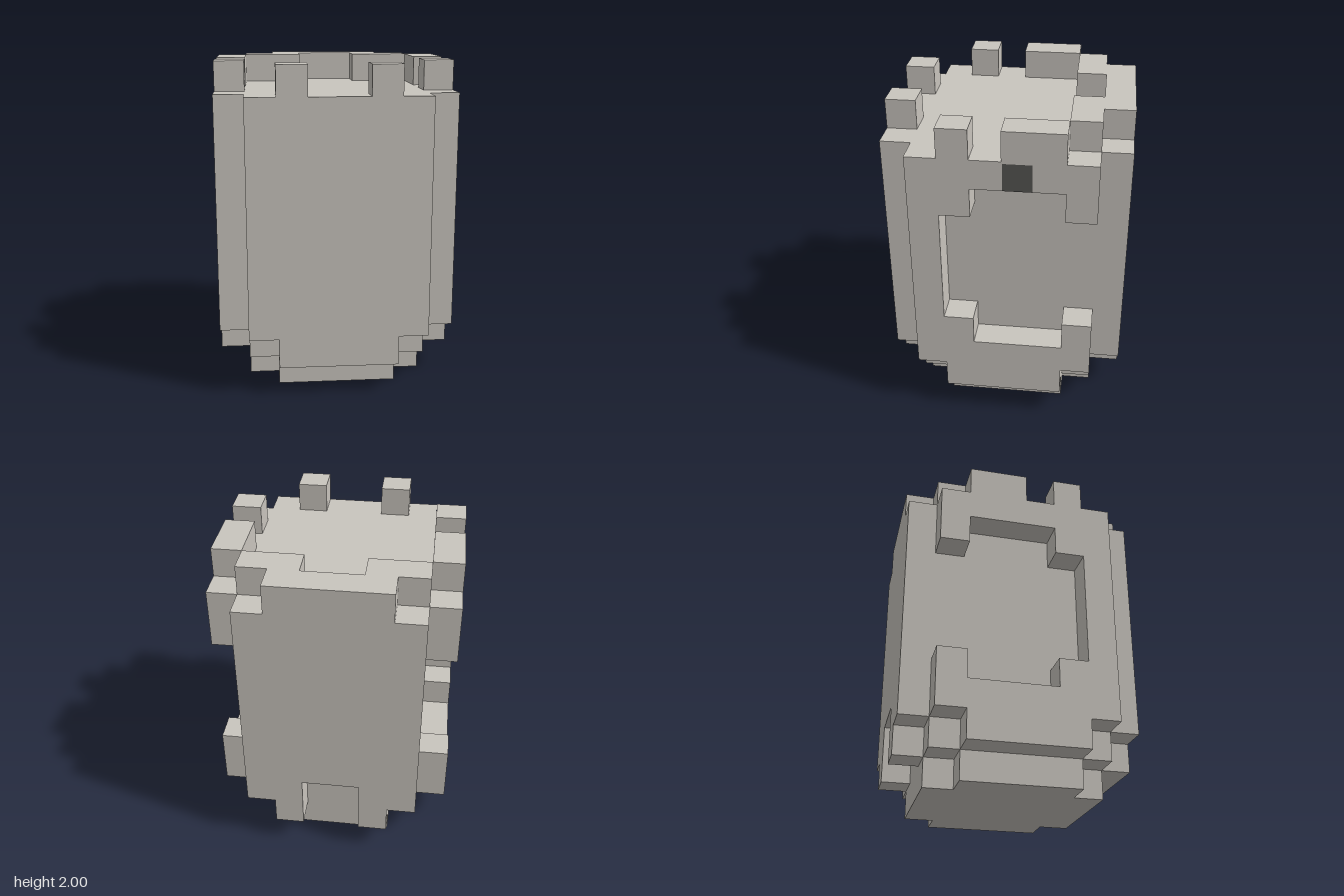
import * as THREE from 'three';

const U = 2 / 11; // size of one block

export function createModel() {
  const stone = new THREE.MeshStandardMaterial({ color: 0xc9c5be });
  stone.name = 'pale stone';
  const dark = new THREE.MeshStandardMaterial({ color: 0x575653 });
  dark.name = 'dark stone';

  const group = new THREE.Group();
  group.name = 'blockBarrel';

  const add = (name, geometry, material = stone) => {
    geometry.scale(U, U, U);
    const mesh = new THREE.Mesh(geometry, material);
    mesh.name = name;
    group.add(mesh);
  };

  // Box given by its lower and upper corners, in blocks
  const box = (x0, y0, z0, x1, y1, z1) =>
    new THREE.BoxGeometry(x1 - x0, y1 - y0, z1 - z0)
      .translate((x0 + x1) / 2, (y0 + y1) / 2, (z0 + z1) / 2);

  // Slab one block thick with a stepped outline, in blocks
  const slab = (points) => new THREE.ExtrudeGeometry(
    new THREE.Shape(points.map(([a, b]) => new THREE.Vector2(a, b))),
    { depth: 1, bevelEnabled: false });

  // Core and the base with cut corners
  add('core', box(-3, 1, -3, 3, 10, 3));
  const base = slab([[-2, -3], [2, -3], [2, -2], [3, -2], [3, 2], [2, 2],
    [2, 3], [-2, 3], [-2, 2], [-3, 2], [-3, -2], [-2, -2]]);
  add('base', base.rotateX(-Math.PI / 2));

  // Front panel with two rim studs
  add('frontPanel', slab([[-2, 1], [2, 1], [2, 2], [3, 2], [3, 10], [2, 10], [2, 11],
    [1, 11], [1, 10], [-1, 10], [-1, 11], [-2, 11], [-2, 10], [-3, 10], [-3, 2], [-2, 2]])
    .translate(0, 0, 3));

  // Back panel with a notch at the foot and a raised rim
  add('backPanel', slab([[-2, 1], [-1, 1], [-1, 3], [1, 3], [1, 1], [2, 1], [2, 2], [3, 2],
    [3, 10], [2, 10], [2, 11], [-2, 11], [-2, 10], [-3, 10], [-3, 2], [-2, 2]])
    .translate(0, 0, -4));

  // Side panels, outlined in (z, y), each with a stepped recess open to the back
  const socket = [[-0.96, 9], [-0.96, 9.93], [-0.03, 9.93], [-0.03, 9]];
  for (const side of [1, -1]) {
    const outline = [[-2, 1], [2, 1], [2, 2], [3, 2], [3, 10], [2, 10], [2, 11], [1, 11],
      [1, 10], [0, 10], [0, 11], [-2, 11], [-2, 10], [-3, 10], [-3, 8], [-2, 8], [-2, 9],
      ...(side > 0 ? socket : []),
      [1, 9], [1, 8], [2, 8], [2, 4], [1, 4], [1, 3], [-2, 3], [-2, 4], [-3, 4], [-3, 2], [-2, 2]];
    const label = side > 0 ? 'left' : 'right';
    add(label + 'Panel',
      slab(outline).rotateY(-Math.PI / 2).translate(side > 0 ? 4 : -3, 0, 0));
    // Inner rim at the back corner
    add(label + 'RimCorner', box(side > 0 ? 1 : -3, 10, -3, side > 0 ? 3 : -1, 11, -2));
  }

  // Dark block set in the left panel
  add('darkBlock', box(3, 9, -0.96, 4, 9.93, -0.03), dark);

  return group;
}
